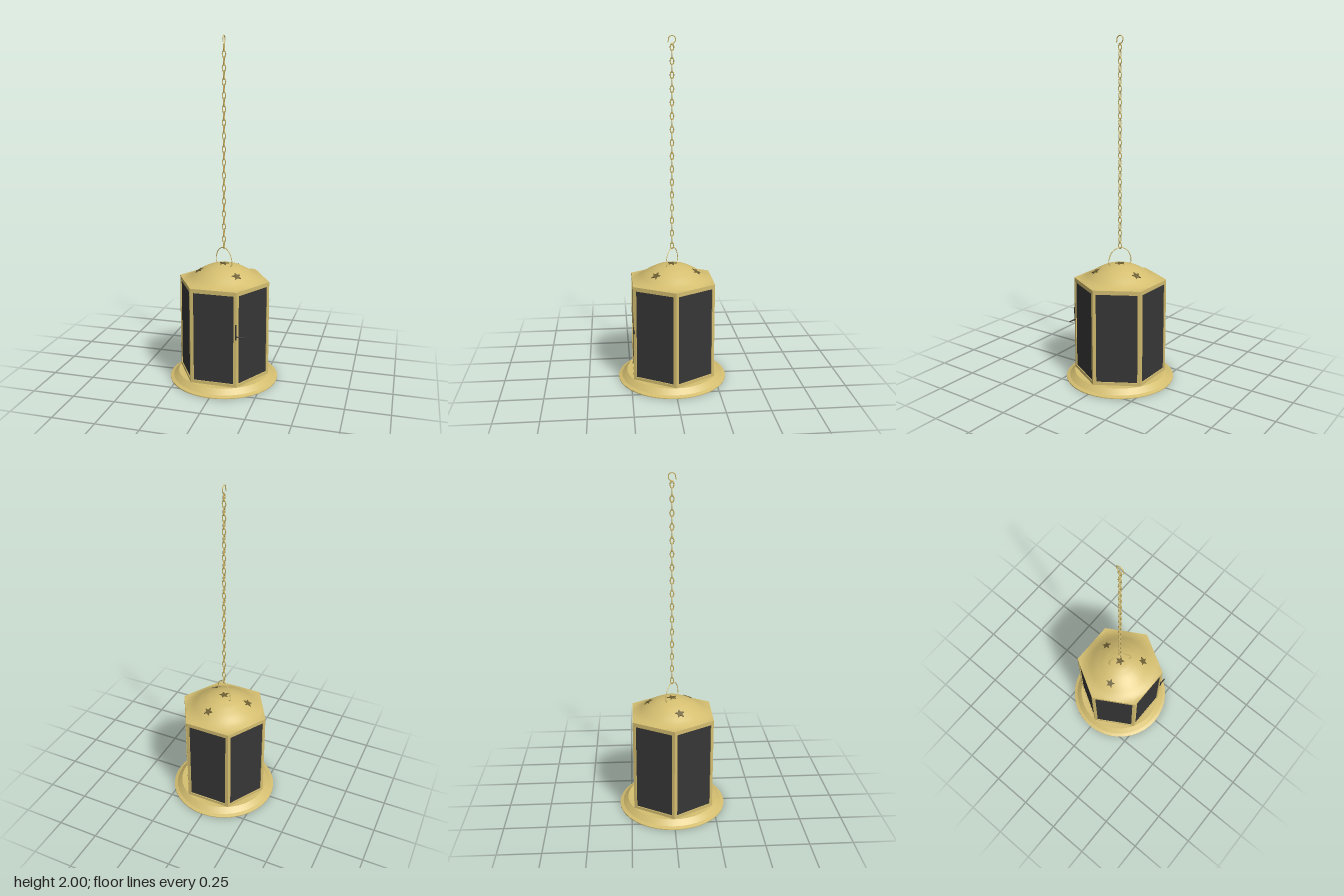
import * as THREE from 'three';

const brass = new THREE.MeshStandardMaterial({ color: 0xd4be70, side: THREE.DoubleSide });
brass.name = 'brass';
const glass = new THREE.MeshStandardMaterial({ color: 0x363636 });
glass.name = 'dark glass';
const shade = new THREE.MeshStandardMaterial({ color: 0x6e6034 });
shade.name = 'star opening';

const R = 0.272, APOTHEM = R * Math.cos(Math.PI / 6);
const BOTTOM = 0.04, TOP = 0.608;

function add(parent, name, geometry, material, x = 0, y = 0, z = 0) {
  const mesh = new THREE.Mesh(geometry, material);
  mesh.name = name;
  mesh.position.set(x, y, z);
  parent.add(mesh);
  return mesh;
}

function tube(points, radius, segments = 32) {
  const curve = new THREE.CatmullRomCurve3(points.map(p => new THREE.Vector3(...p)));
  return new THREE.TubeGeometry(curve, segments, radius, 6);
}

// Stamped base: low flange, sloping wall, raised floor with a small boss below
function makeBase(root) {
  // separate lathes keep the edges between the bands sharp
  const profile = [[0.322, 0], [0.322, 0.005], [0.302, 0.012], [0.272, BOTTOM], [0, BOTTOM]];
  const base = new THREE.Group();
  base.name = 'base';
  for (let i = 0; i < profile.length - 1; i++) {
    const pts = [profile[i], profile[i + 1]].map(p => new THREE.Vector2(...p));
    add(base, 'baseBand', new THREE.LatheGeometry(pts, 40), brass);
  }
  add(base, 'baseBoss', new THREE.CylinderGeometry(0.02, 0.02, 0.008, 16), brass, 0, BOTTOM - 0.004, 0);
  root.add(base);
}

// One side: a brass frame around a dark pane
function makeSide(i) {
  const side = new THREE.Group();
  side.name = 'side';
  const h = TOP - BOTTOM, w = R / 2, b = 0.018;
  const frame = new THREE.Shape([[-w, 0], [w, 0], [w, h], [-w, h]].map(p => new THREE.Vector2(...p)));
  frame.holes.push(new THREE.Path(
    [[-w + b, b], [-w + b, h - b - 0.006], [w - b, h - b - 0.006], [w - b, b]].map(p => new THREE.Vector2(...p))));
  const geo = new THREE.ExtrudeGeometry(frame, { depth: 0.01, bevelEnabled: false });
  // mitre the corners so neighbouring frames meet cleanly
  const pos = geo.attributes.position;
  for (let k = 0; k < pos.count; k++) {
    const x = pos.getX(k);
    if (Math.abs(x) > w - 0.001 && pos.getZ(k) < 0.005) pos.setX(k, Math.sign(x) * (w - 0.0058));
  }
  geo.computeVertexNormals();
  add(side, 'sideFrame', geo, brass, 0, BOTTOM, APOTHEM - 0.01);
  add(side, 'pane', new THREE.BoxGeometry(2 * w - b, h - b, 0.004), glass, 0, (TOP + BOTTOM) / 2, APOTHEM - 0.007);
  side.rotation.y = i * Math.PI / 3;
  return side;
}

// Dome height at a distance from the axis
const KNOTS = [[0, 0.702], [0.05, 0.697], [0.1, 0.682], [0.15, 0.656], [0.2, 0.623], [0.235, 0.609], [0.28, TOP]];
function domeHeight(r) {
  let k = 0;
  while (k < KNOTS.length - 2 && r > KNOTS[k + 1][0]) k++;
  const [r0, y0] = KNOTS[k], [r1, y1] = KNOTS[k + 1];
  return y0 + (y1 - y0) * (r - r0) / (r1 - r0);
}

// Roof: round dome blending into the hexagonal rim
function makeRoof(root) {
  const pts = [];
  for (let i = 0; i <= 16; i++) pts.push(new THREE.Vector2(R * (1 - i / 16), 0));
  const geo = new THREE.LatheGeometry(pts, 72);
  const pos = geo.attributes.position;
  for (let k = 0; k < pos.count; k++) {
    const x = pos.getX(k), z = pos.getZ(k);
    const t = Math.hypot(x, z) / R, a = Math.atan2(x, z), step = Math.PI / 3;
    const hex = APOTHEM / Math.cos(a - Math.round(a / step) * step);
    const r = t * (R + (hex - R) * t);
    pos.setXYZ(k, Math.sin(a) * r, domeHeight(r), Math.cos(a) * r);
  }
  geo.computeVertexNormals();
  add(root, 'roof', geo, brass);
}

// Star openings: three on the slope and one at the crown
function makeStars(root) {
  const shape = new THREE.Shape();
  for (let i = 0; i < 10; i++) {
    const r = i % 2 ? 0.0135 : 0.029, a = Math.PI / 2 + i * Math.PI / 5;
    shape[i ? 'lineTo' : 'moveTo'](r * Math.cos(a), r * Math.sin(a));
  }
  const geo = new THREE.ExtrudeGeometry(shape, { depth: 0.006, bevelEnabled: false });
  geo.rotateX(-Math.PI / 2);
  for (const deg of [45, 165, 285]) {
    const a = THREE.MathUtils.degToRad(deg), r = 0.143;
    const star = add(root, 'roofStar', geo, shade, r * Math.cos(a), domeHeight(r) - 0.003, r * Math.sin(a));
    star.rotation.set(0.52, Math.PI / 2 - a, 0, 'YXZ');
  }
  add(root, 'crownStar', geo, shade, 0, 0.698, 0);
}

// Door latch: upright plate and lever at one corner
function makeLatch(root) {
  add(root, 'latchPlate', new THREE.BoxGeometry(0.008, 0.09, 0.006), glass, 0.133, 0.375, 0.236);
  const lever = add(root, 'latchLever', new THREE.CylinderGeometry(0.004, 0.004, 0.05, 8), glass, 0.16, 0.346, 0.233);
  lever.rotation.z = Math.PI / 2;
}

// Bail, chain and hook
function makeHanger(root) {
  const bailPoints = [[-0.05, 0.69, 0], [-0.068, 0.702, 0], [-0.07, 0.725, 0], [-0.052, 0.77, 0], [-0.022, 0.792, 0],
    [0, 0.796, 0], [0.022, 0.792, 0], [0.052, 0.77, 0], [0.07, 0.725, 0], [0.068, 0.702, 0], [0.05, 0.69, 0]];
  const bail = add(root, 'bail', tube(bailPoints, 0.0025, 48), brass);
  bail.rotation.y = -Math.atan2(0.04, 0.06);

  const chain = new THREE.Group();
  chain.name = 'chain';
  const linkGeo = new THREE.TorusGeometry(0.01, 0.003, 6, 16);
  linkGeo.scale(1, 1.8, 1);
  for (let i = 0; i <= 30; i++) {
    const link = add(chain, 'chainLink', linkGeo, brass, 0, 0.81 + i * 0.0375, 0);
    if (i % 2 === 0) link.rotation.y = Math.PI / 2;
  }
  root.add(chain);

  add(root, 'hook', tube([[0, 1.96, 0.024], [0, 1.972, 0.02], [0, 1.988, 0.017], [0, 1.997, 0],
    [0, 1.988, -0.017], [0, 1.968, -0.018], [0, 1.953, -0.006], [0, 1.942, 0]], 0.003), brass);
}

export function createModel() {
  const root = new THREE.Group();
  root.name = 'hangingLantern';
  makeBase(root);
  for (let i = 0; i < 6; i++) root.add(makeSide(i));
  makeRoof(root);
  makeStars(root);
  makeLatch(root);
  makeHanger(root);
  return root;
}
